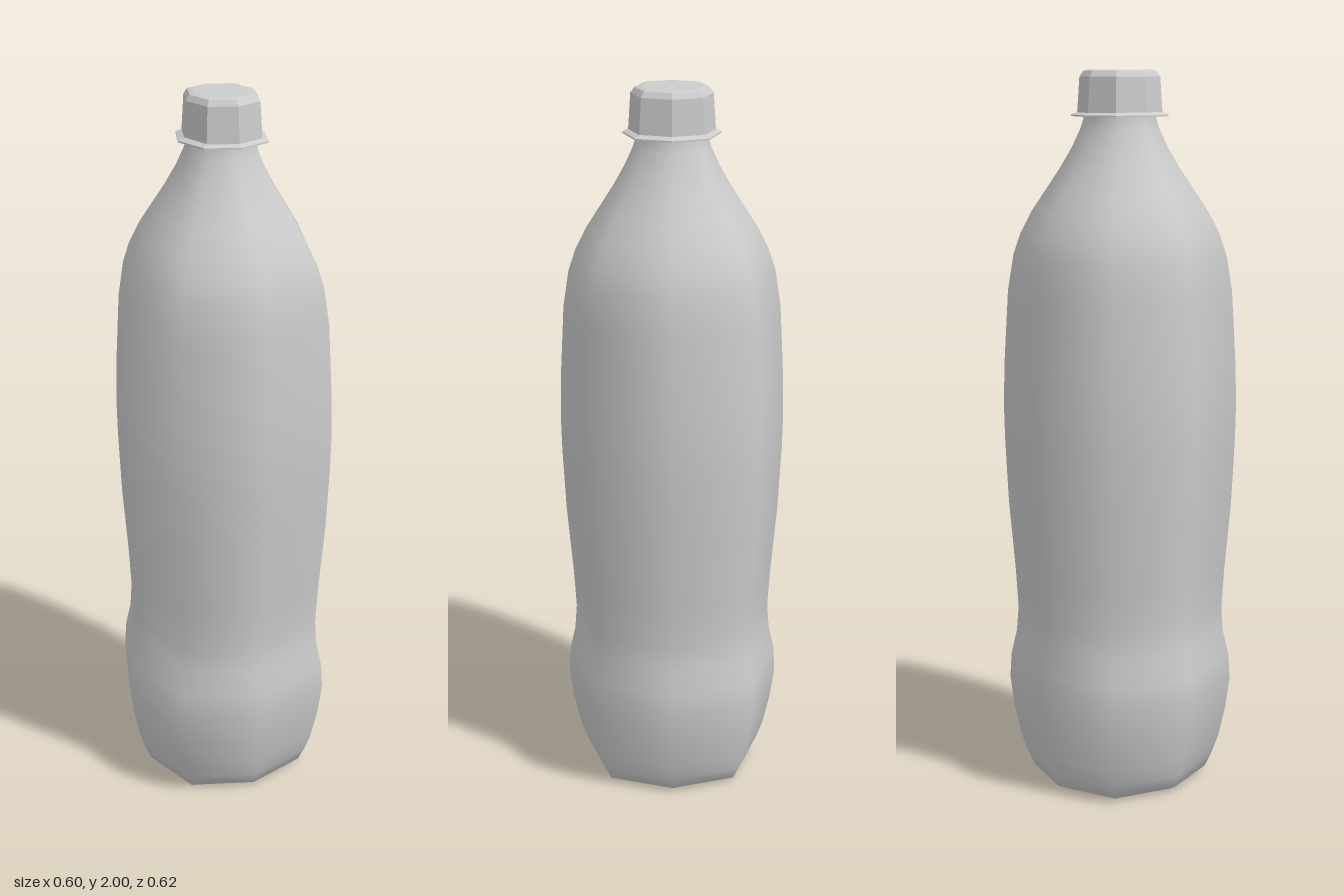
import * as THREE from 'three';

const SIDES = 8;

// Eight-sided lathe, slightly deeper than wide, with its diagonal corners pushed out
function octagonLathe(profile, depth, bulge) {
  const geometry = new THREE.LatheGeometry(profile.map(([r, y]) => new THREE.Vector2(r, y)), SIDES);
  const pos = geometry.attributes.position;
  for (let i = 0; i < pos.count; i++) {
    const corner = Math.floor(i / profile.length);
    const k = corner % 2 ? bulge : 1;
    pos.setXYZ(i, pos.getX(i) * k, pos.getY(i), pos.getZ(i) * k * depth);
  }
  return geometry;
}

function part(name, geometry, options = {}) {
  const mesh = new THREE.Mesh(geometry, new THREE.MeshStandardMaterial({ color: 0xcccccc, ...options }));
  mesh.name = name;
  return mesh;
}

export function createModel() {
  const group = new THREE.Group();
  group.name = 'bottle';

  // Body: hollowed base, pinched grip, long belly, shoulder and neck
  const body = [
    [0, 0.025], [0.1, 0.02], [0.18, 0.006], [0.205, 0], [0.228, 0.012], [0.245, 0.05],
    [0.262, 0.1], [0.281, 0.19], [0.292, 0.28], [0.288, 0.35], [0.273, 0.42], [0.268, 0.49],
    [0.274, 0.6], [0.29, 0.8], [0.298, 0.98], [0.3, 1.08], [0.297, 1.2], [0.286, 1.4],
    [0.271, 1.5], [0.252, 1.56], [0.223, 1.62], [0.186, 1.68], [0.152, 1.735],
    [0.122, 1.79], [0.1, 1.84], [0.091, 1.87], [0.091, 1.89],
  ];
  group.add(part('body', octagonLathe(body, 1.035, 1.065)));

  // Collar: thin flared ring under the cap
  const collar = [[0.088, 1.882], [0.123, 1.876], [0.123, 1.88], [0.1, 1.89]];
  group.add(part('collar', octagonLathe(collar, 1.06, 1.045), { flatShading: true, side: THREE.DoubleSide }));

  // Cap: faceted, tapering wall with a bevelled top
  const cap = [[0.085, 1.884], [0.106, 1.884], [0.1, 1.982], [0.09, 1.997], [0.078, 2], [0, 2]];
  group.add(part('cap', octagonLathe(cap, 1.09, 1.045), { flatShading: true }));

  return group;
}
